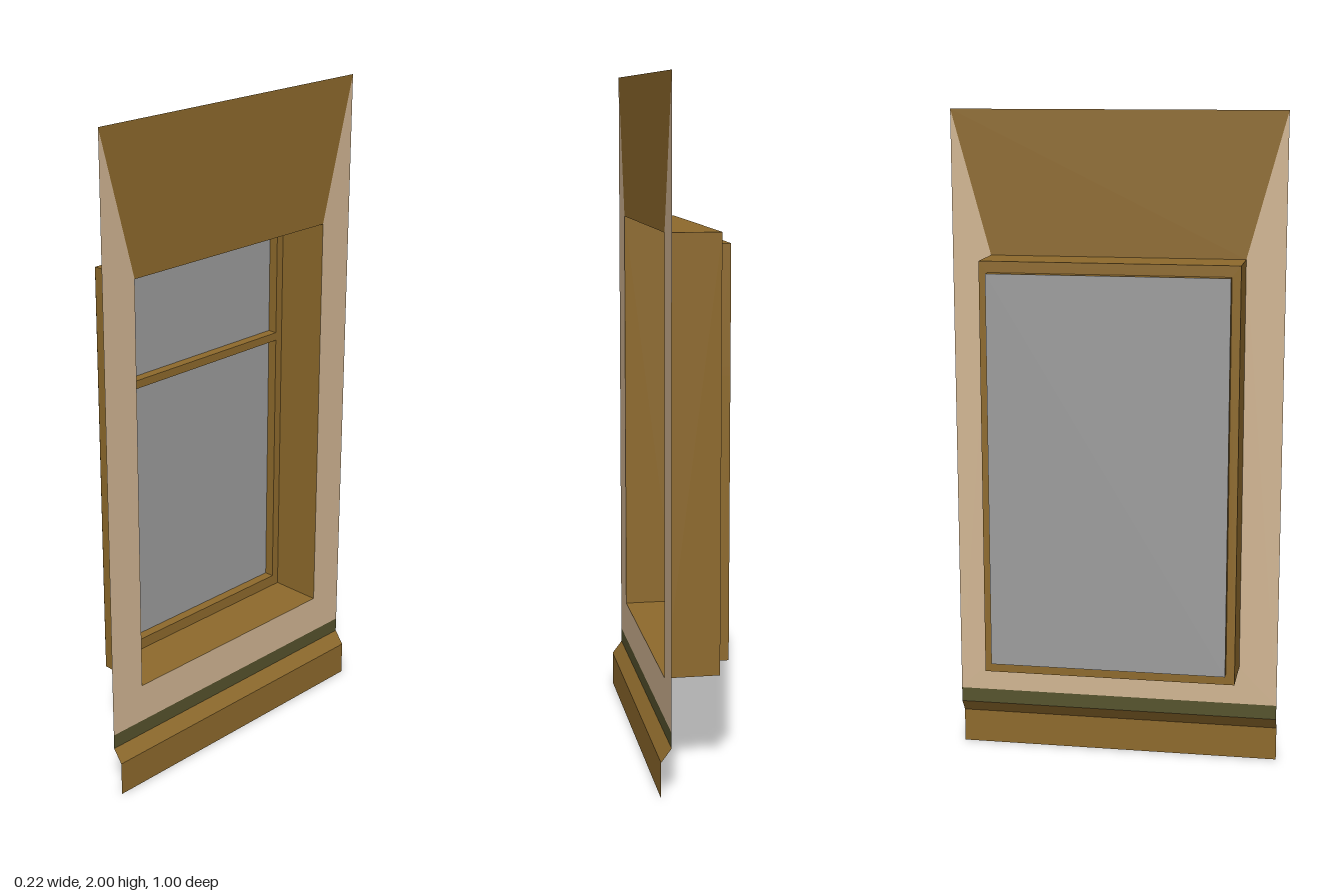
import * as THREE from 'three';

const material = (name, color) => {
  const m = new THREE.MeshStandardMaterial({ color, side: THREE.DoubleSide });
  m.name = name;
  return m;
};

export function createModel() {
  const wood = material('brown wood', 0x8e6a2c);
  const plaster = material('tan plaster', 0xd2b693);
  const trim = material('dark green trim', 0x56532d);
  const glass = material('grey glass', 0x9d9d9d);
  const model = new THREE.Group();
  model.name = 'windowWall';

  // Key depths, from the skirting out in the room to the glass
  const skirtX = 0.11, wallX = 0.08, frameX = -0.08, glassX = -0.11;
  const halfWall = 0.5;
  const reveal = { w: 0.383, y0: 0.31, y1: 1.57 };
  const panes = [
    { w: 0.357, y0: 0.345, y1: 1.17 },
    { w: 0.357, y0: 1.195, y1: 1.537 },
  ];

  const add = (name, geometry, mat) => {
    const mesh = new THREE.Mesh(geometry, mat);
    mesh.name = name;
    model.add(mesh);
  };
  const corners = ({ w, y0, y1 }) => [[-w, y0], [w, y0], [w, y1], [-w, y1]];

  // Flat sheet facing +x, outlined by [across, up] points, with optional holes
  const sheet = (name, mat, x, outline, holes = []) => {
    const toPoints = (list) => list.map(([a, b]) => new THREE.Vector2(a, b));
    const shape = new THREE.Shape(toPoints(outline));
    holes.forEach((h) => shape.holes.push(new THREE.Path(toPoints(h))));
    add(name, new THREE.ShapeGeometry(shape).rotateY(Math.PI / 2).translate(x, 0, 0), mat);
  };

  // Four inward-facing sides of a rectangular opening between two depths
  const lining = (name, rect, xFront, xBack) => {
    const c = corners(rect), pos = [];
    c.forEach(([a, y], i) => {
      const [b, v] = c[(i + 1) % 4];
      pos.push(xFront, y, -a, xFront, v, -b, xBack, v, -b);
      pos.push(xFront, y, -a, xBack, v, -b, xBack, y, -a);
    });
    const g = new THREE.BufferGeometry();
    g.setAttribute('position', new THREE.Float32BufferAttribute(pos, 3));
    g.computeVertexNormals();
    add(name, g, wood);
  };

  // Wall: a U of plaster around the opening, with a wooden panel above
  const { w, y0, y1 } = reveal;
  sheet('wall', plaster, wallX, [
    [-halfWall, 0.19], [halfWall, 0.19], [halfWall, 2], [w, y1],
    [w, y0], [-w, y0], [-w, y1], [-halfWall, 2],
  ]);
  sheet('upperPanel', wood, wallX, [[-w, y1], [w, y1], [halfWall, 2], [-halfWall, 2]]);
  sheet('trimStrip', trim, wallX, corners({ w: halfWall, y0: 0.145, y1: 0.19 }));

  // Skirting: sloped ledge and upright board
  const ledge = new THREE.PlaneGeometry(1, Math.hypot(skirtX - wallX, 0.04));
  ledge.rotateX(-Math.atan2(skirtX - wallX, 0.04)).rotateY(Math.PI / 2);
  ledge.translate((skirtX + wallX) / 2, 0.125, 0);
  add('skirtingLedge', ledge, wood);
  sheet('skirtingBoard', wood, skirtX, corners({ w: halfWall, y0: 0, y1: 0.105 }));

  // Window recess, frame, rebates and glazing
  lining('windowReveal', reveal, wallX, frameX);
  sheet('windowFrame', wood, frameX, corners(reveal), panes.map(corners));
  panes.forEach((p) => lining('paneRebate', p, frameX, glassX));
  sheet('glazing', glass, glassX, corners({ w: panes[0].w, y0: panes[0].y0, y1: panes[1].y1 }));
  // Outer edges of the crossbar between the panes
  for (const s of [-1, 1]) {
    const end = new THREE.PlaneGeometry(frameX - glassX, panes[1].y0 - panes[0].y1);
    if (s < 0) end.rotateY(Math.PI);
    end.translate((frameX + glassX) / 2, (panes[1].y0 + panes[0].y1) / 2, s * panes[0].w);
    add('crossbarEnd', end, wood);
  }
  return model;
}
